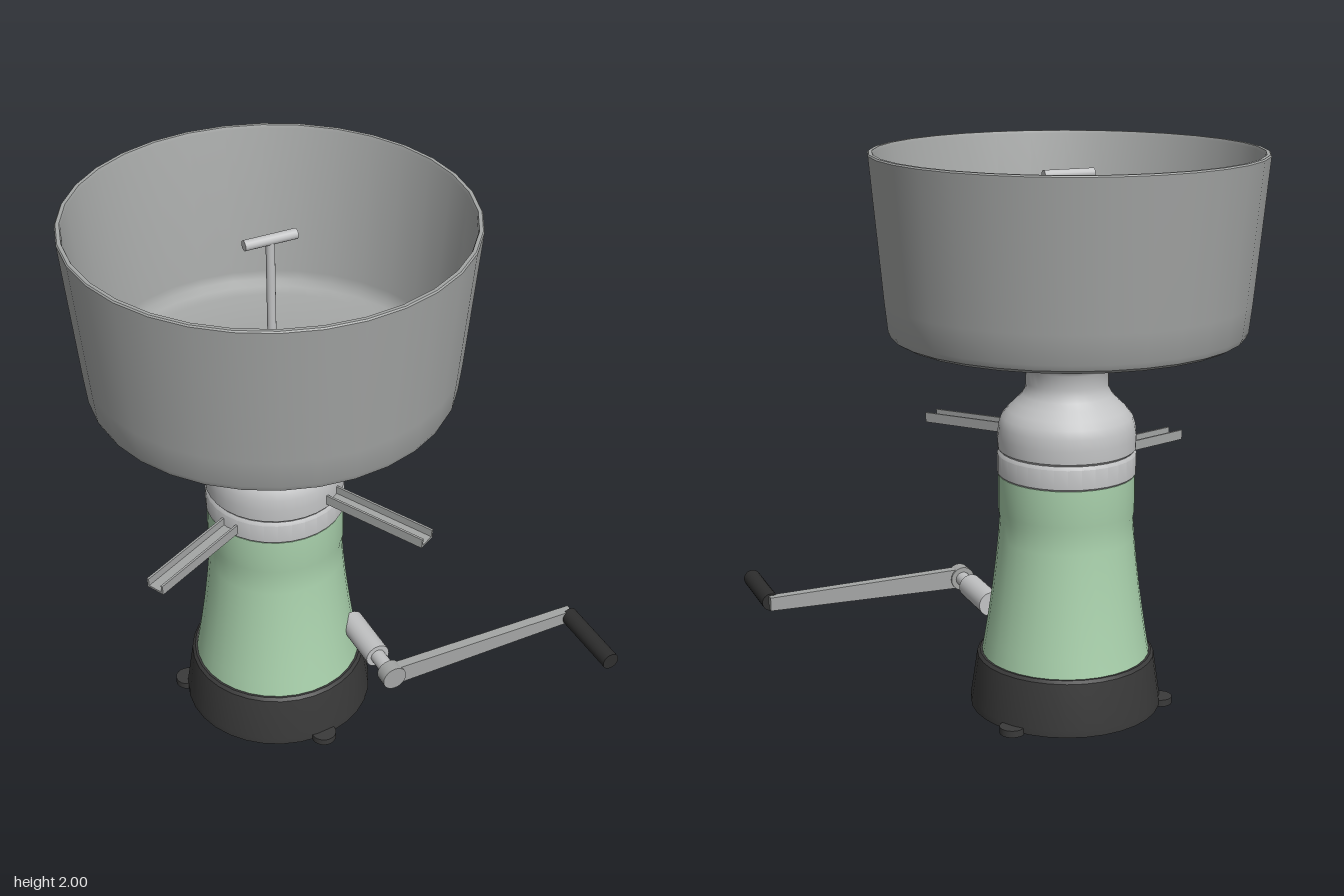
import * as THREE from 'three';
import { toCreasedNormals } from 'three/addons/utils/BufferGeometryUtils.js';

const material = (name, color) => {
  const m = new THREE.MeshStandardMaterial({ color });
  m.name = name;
  return m;
};

export function createModel() {
  const steel = material('steel grey', 0xa4a6a5);
  const light = material('light grey', 0xc2c3c4);
  const green = material('pale green', 0xaad2ad);
  const black = material('charcoal', 0x3a3a3a);
  const grip = material('grip black', 0x2e2e2e);

  const model = new THREE.Group();
  model.name = 'creamSeparator';
  // The turned column stands off centre because the crank reaches sideways
  const column = new THREE.Group();
  column.name = 'column';
  column.position.set(-0.16, 0, -0.045);
  model.add(column);

  const add = (parent, name, geometry, mat, x = 0, y = 0, z = 0) => {
    const mesh = new THREE.Mesh(geometry, mat);
    mesh.name = name;
    mesh.position.set(x, y, z);
    parent.add(mesh);
    return mesh;
  };
  const turned = (name, profile, mat) => {
    const points = profile.map(([r, y]) => new THREE.Vector2(r, y));
    add(column, name, toCreasedNormals(new THREE.LatheGeometry(points, 32), 0.6), mat);
  };
  // Cylinder lying along z, from z0 to z1
  const rod = (name, r, z0, z1, x, y, mat) =>
    add(model, name, new THREE.CylinderGeometry(r, r, z1 - z0, 24).rotateX(Math.PI / 2), mat, x, y, (z0 + z1) / 2);

  // Base and body
  turned('base', [[0, 0.005], [0.344, 0.005], [0.344, 0.03], [0.32, 0.195], [0.31, 0.205], [0, 0.205]], black);
  turned('body', [[0.303, 0.2], [0.291, 0.27], [0.277, 0.36], [0.264, 0.45], [0.252, 0.55], [0.243, 0.64],
    [0.238, 0.71], [0.243, 0.74], [0.243, 0.87], [0, 0.87]], green);
  turned('collarRing', [[0, 0.866], [0.238, 0.866], [0.246, 0.876], [0.246, 0.945], [0.238, 0.957], [0, 0.957]], light);
  turned('neck', [[0.235, 0.955], [0.244, 0.965], [0.245, 1.01], [0.241, 1.05], [0.231, 1.08], [0.21, 1.105],
    [0.182, 1.133], [0.159, 1.158], [0.147, 1.18], [0.145, 1.2], [0.145, 1.25], [0.155, 1.267],
    [0.185, 1.285], [0.24, 1.303], [0.24, 1.312], [0.31, 1.312], [0.32, 1.32], [0.32, 1.348],
    [0.312, 1.357], [0, 1.357]], light);

  // Open supply bowl with a thin wall
  turned('bowl', [[0, 1.352], [0.35, 1.354], [0.56, 1.362], [0.595, 1.368], [0.615, 1.38], [0.624, 1.4],
    [0.635, 1.5], [0.679, 1.985], [0.68, 1.995], [0.676, 2], [0.664, 2], [0.66, 1.99], [0.612, 1.45],
    [0.604, 1.42], [0.585, 1.4], [0.55, 1.388], [0.35, 1.378], [0, 1.375]], steel);

  // Tap key standing in the bowl
  add(column, 'tapCollar', new THREE.CylinderGeometry(0.045, 0.06, 0.06, 24), light, 0, 1.405);
  add(column, 'tapStem', new THREE.CylinderGeometry(0.015, 0.015, 0.54, 16), light, 0, 1.65);
  add(column, 'tapHandle', new THREE.CylinderGeometry(0.018, 0.018, 0.185, 16).rotateZ(Math.PI / 2), light, 0, 1.92);

  // Feet spaced evenly around the base
  for (let i = 0; i < 3; i++) {
    const a = THREE.MathUtils.degToRad(86 + 120 * i);
    add(column, 'foot', new THREE.CylinderGeometry(0.045, 0.045, 0.025, 20), black,
      0.345 * Math.cos(a), 0.0125, 0.345 * Math.sin(a));
  }

  // Two open, sloping spouts with a U section
  const section = new THREE.Shape([[-0.035, -0.018], [0.035, -0.018], [0.035, 0.018], [0.027, 0.018],
    [0.027, -0.01], [-0.027, -0.01], [-0.027, 0.018], [-0.035, 0.018]].map(p => new THREE.Vector2(...p)));
  const spoutGeometry = new THREE.ExtrudeGeometry(section, { depth: 0.42, bevelEnabled: false });
  for (const [name, degrees, y] of [['creamSpout', 154.5, 0.909], ['milkSpout', 60, 0.999]]) {
    const a = THREE.MathUtils.degToRad(degrees);
    const spout = add(column, name, spoutGeometry, steel, 0.205 * Math.cos(a), y, 0.205 * Math.sin(a));
    spout.rotation.set(0.055, Math.PI / 2 - a, 0, 'YXZ');
  }

  // Crank: housing, shaft, tapered arm with a round hub, and grip
  rod('shaftHousing', 0.045, 0.12, 0.33, 0.065, 0.345, light);
  rod('crankShaft', 0.027, 0.32, 0.43, 0.065, 0.345, light);
  rod('crankHub', 0.045, 0.413, 0.462, 0.065, 0.345, steel);
  const arm = new THREE.Shape([[0.065, -0.037], [0.81, -0.025], [0.81, 0.025], [0.065, 0.037]]
    .map(p => new THREE.Vector2(...p)));
  add(model, 'crankArm', new THREE.ExtrudeGeometry(arm, { depth: 0.035, bevelEnabled: false }), steel, 0, 0.345, 0.42);
  rod('crankGrip', 0.032, 0.445, 0.725, 0.803, 0.345, grip);

  return model;
}
